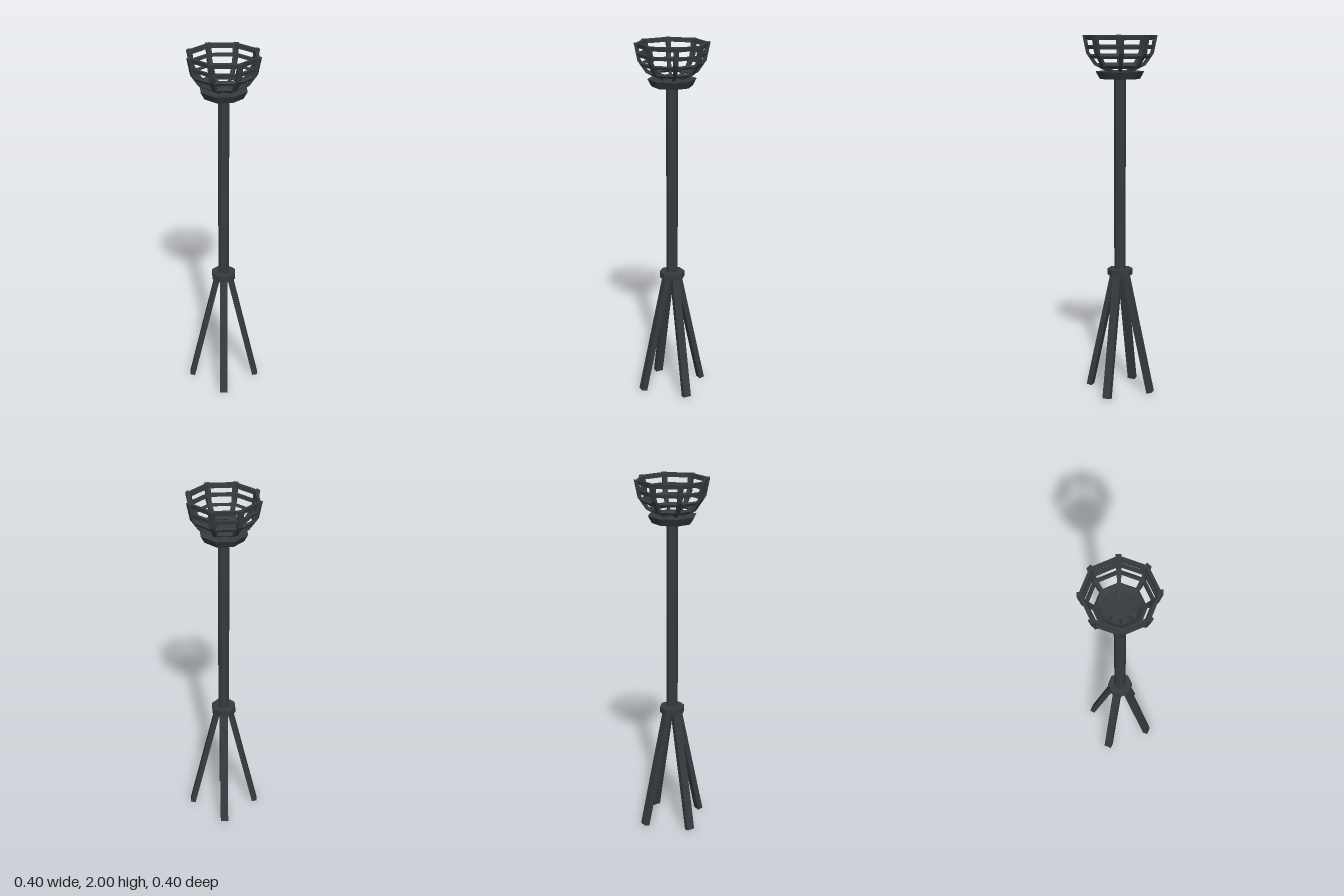
import * as THREE from 'three';

export function createModel() {
  const model = new THREE.Group();
  model.name = 'standingBrazier';
  const iron = new THREE.MeshStandardMaterial({ color: 0x363b40, flatShading: true });
  iron.name = 'dark iron';

  const add = (name, geometry, parent = model) => {
    const mesh = new THREE.Mesh(geometry, iron);
    mesh.name = name;
    parent.add(mesh);
    return mesh;
  };
  // Eight-sided drum between two heights
  const drum = (name, rTop, rBottom, y0, y1) => {
    add(name, new THREE.CylinderGeometry(rTop, rBottom, y1 - y0, 8)).position.y = (y0 + y1) / 2;
  };

  // Pole, leg collar and the dish under the basket
  drum('pole', 0.032, 0.032, 0.66, 1.78);
  drum('collar', 0.07, 0.07, 0.675, 0.71);
  drum('dish', 0.132, 0.11, 1.768, 1.808);

  // Four splayed legs
  const footR = 0.186, topR = 0.032, footY = 0.003, topY = 0.69;
  const legLength = Math.hypot(footR - topR, topY - footY);
  for (let i = 0; i < 4; i++) {
    const pivot = new THREE.Group();
    pivot.name = 'legPivot';
    pivot.rotation.y = THREE.MathUtils.degToRad(20 + 90 * i);
    const leg = add('leg', new THREE.BoxGeometry(0.03, legLength, 0.044), pivot);
    leg.position.set((footR + topR) / 2, (footY + topY) / 2, 0);
    leg.rotation.z = Math.atan2(footR - topR, topY - footY);
    model.add(pivot);
  }

  // Basket hoops: outer bottom, outer top, inner top, inner bottom as [radius, y]
  const hoops = [
    [[0.19, 1.977], [0.195, 2], [0.178, 2], [0.174, 1.977]],
    [[0.184, 1.929], [0.188, 1.947], [0.173, 1.948], [0.169, 1.931]],
    [[0.165, 1.879], [0.174, 1.893], [0.16, 1.899], [0.152, 1.886]],
    [[0.103, 1.825], [0.13, 1.841], [0.122, 1.851], [0.095, 1.834]],
  ];
  for (const h of hoops) {
    const points = [...h, h[0]].map(([r, y]) => new THREE.Vector2(r, y));
    add('basketHoop', new THREE.LatheGeometry(points, 8));
  }

  // Curved ribs, narrowing toward the dish
  const ribShape = new THREE.Shape([
    [0.06, 1.8], [0.14, 1.842], [0.183, 1.905], [0.202, 2],
    [0.18, 2], [0.166, 1.912], [0.126, 1.855], [0.05, 1.81],
  ].map(([r, y]) => new THREE.Vector2(r, y)));
  const ribGeometry = new THREE.ExtrudeGeometry(ribShape, { depth: 1, bevelEnabled: false });
  const p = ribGeometry.attributes.position;
  for (let i = 0; i < p.count; i++) {
    p.setZ(i, (p.getZ(i) - 0.5) * (0.004 + 0.12 * p.getX(i)));
  }
  ribGeometry.computeVertexNormals();
  for (let i = 0; i < 8; i++) {
    add('basketRib', ribGeometry).rotation.y = (i * Math.PI) / 4;
  }

  return model;
}
